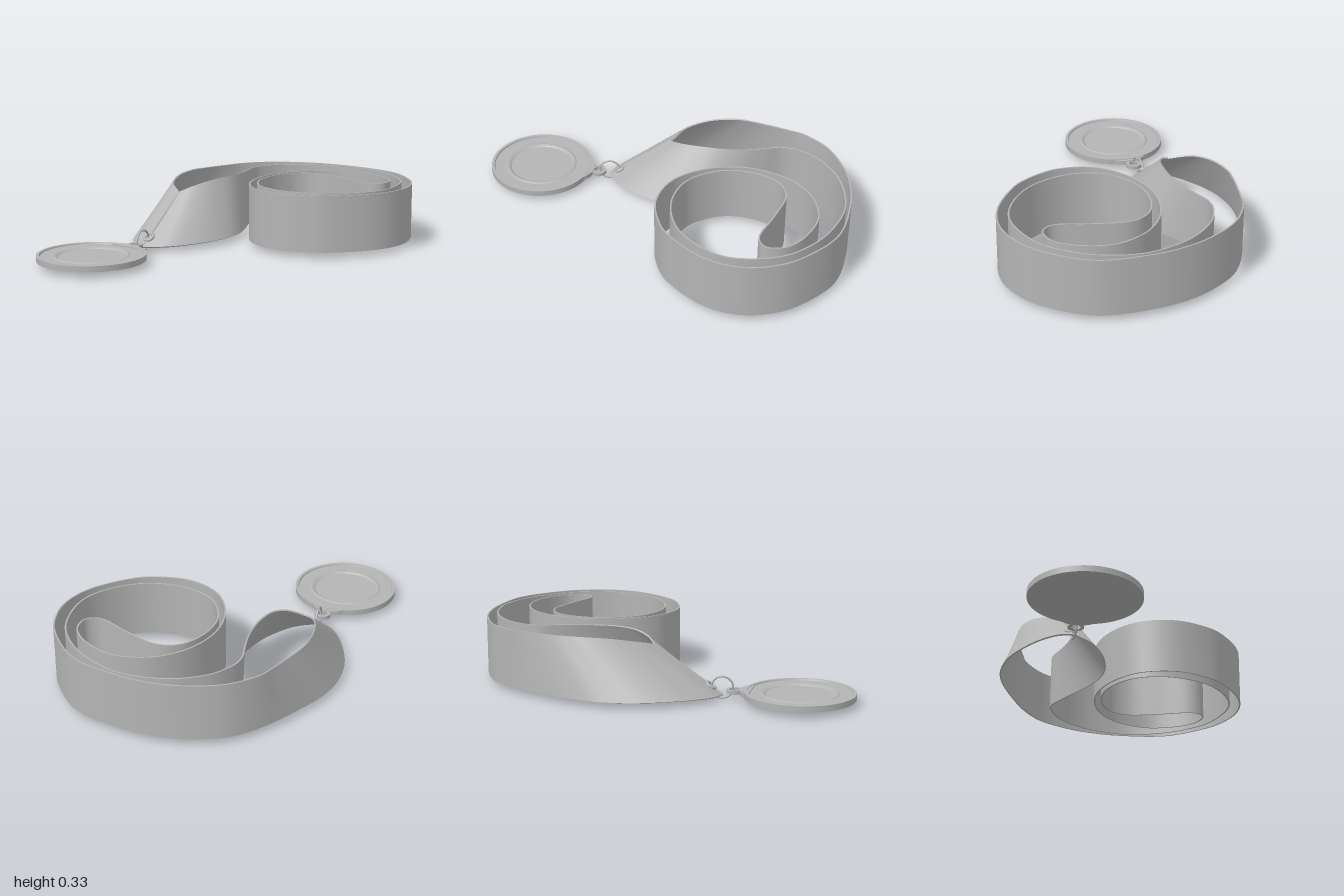
import * as THREE from 'three';

const grey = new THREE.MeshStandardMaterial({ color: 0xb4b4b4 });
grey.name = 'grey';

// Left side of the neck opening: top edge x, y, z then bottom edge x, y, z
const LEFT = [
  [-0.40, 0.265, 0.00, -0.37, 0.022, 0.34],
  [-0.50, 0.295, -0.07, -0.46, 0.025, 0.30],
  [-0.56, 0.317, -0.19, -0.56, 0.028, 0.18],
  [-0.585, 0.325, -0.33, -0.65, 0.03, 0.00],
  [-0.575, 0.325, -0.43, -0.68, 0.03, -0.18],
  [-0.555, 0.325, -0.52, -0.655, 0.03, -0.35],
  [-0.53, 0.325, -0.62, -0.575, 0.03, -0.56],
];
// Right side, running back to the seam
const RIGHT = [
  [-0.335, 0.325, -0.52, -0.295, 0.03, -0.47],
  [-0.305, 0.325, -0.42, -0.215, 0.03, -0.33],
  [-0.29, 0.325, -0.32, -0.16, 0.03, -0.20],
  [-0.29, 0.325, -0.23, -0.147, 0.03, -0.08],
  [-0.305, 0.317, -0.13, -0.18, 0.028, 0.08],
  [-0.345, 0.295, -0.05, -0.26, 0.025, 0.24],
  [-0.40, 0.265, 0.00, -0.37, 0.022, 0.34],
];
// Upright coil in plan (x, z): outer turn inwards, round the end and back out
const COIL = [
  [-0.5, -0.71], [-0.41, -0.83], [-0.29, -0.91], [-0.13, -0.972], [0.08, -0.995], [0.35, -0.955],
  [0.56, -0.79], [0.65, -0.63], [0.67, -0.48], [0.63, -0.33], [0.53, -0.185], [0.42, -0.09],
  [0.23, -0.03], [0.04, -0.08], [-0.09, -0.23], [-0.142, -0.43], [-0.1, -0.63], [0.02, -0.78],
  [0.2, -0.847], [0.36, -0.81], [0.47, -0.73], [0.5, -0.64], [0.47, -0.59], [0.4, -0.58],
  [0.25, -0.63], [0.07, -0.67], [-0.05, -0.61], [-0.105, -0.46], [-0.085, -0.3], [0.03, -0.155],
  [0.22, -0.108], [0.42, -0.17], [0.56, -0.32], [0.608, -0.49], [0.55, -0.71], [0.41, -0.86],
  [0.24, -0.945], [0.07, -0.97], [-0.13, -0.92], [-0.28, -0.81], [-0.35, -0.69], [-0.36, -0.6],
];

function add(parent, name, geometry) {
  const mesh = new THREE.Mesh(geometry, grey);
  mesh.name = name;
  parent.add(mesh);
  return mesh;
}

// Thin band between a top and a bottom rail, with real thickness
function ribbonGeometry(rows, steps, half) {
  const rail = k => new THREE.CatmullRomCurve3(
    rows.map(r => new THREE.Vector3(r[k], r[k + 1], r[k + 2])), false, 'catmullrom', 0.5);
  const top = rail(0), bottom = rail(3);
  const middle = t => top.getPoint(t).add(bottom.getPoint(t));
  const sections = [];
  for (let i = 0; i <= steps; i++) {
    const t = i / steps, e = 0.0005;
    const a = top.getPoint(t), b = bottom.getPoint(t);
    const along = middle(Math.min(1, t + e)).sub(middle(Math.max(0, t - e)));
    const n = along.cross(a.clone().sub(b)).setLength(half);
    sections.push([a.clone().add(n), b.clone().add(n), b.clone().sub(n), a.clone().sub(n)]);
  }
  const positions = [], index = [];
  const put = p => positions.push(p.x, p.y, p.z);
  for (let s = 0; s < 4; s++) {
    const base = positions.length / 3;
    sections.forEach(c => { put(c[s]); put(c[(s + 1) % 4]); });
    for (let i = 0; i < steps; i++) {
      const k = base + 2 * i;
      index.push(k, k + 1, k + 3, k, k + 3, k + 2);
    }
  }
  // end caps
  const first = sections[0], last = sections[steps];
  for (const cap of [[first[0], first[3], first[2], first[1]], last]) {
    const k = positions.length / 3;
    cap.forEach(put);
    index.push(k, k + 1, k + 2, k, k + 2, k + 3);
  }
  const g = new THREE.BufferGeometry();
  g.setAttribute('position', new THREE.Float32BufferAttribute(positions, 3));
  g.setIndex(index);
  g.computeVertexNormals();
  return g;
}

// Lathe with hard edges: each profile segment is its own smooth band
function turned(parent, name, profile, x, z) {
  const group = new THREE.Group();
  group.name = name;
  group.position.set(x, 0, z);
  for (let i = 0; i < profile.length - 1; i++) {
    const pair = [profile[i], profile[i + 1]].map(p => new THREE.Vector2(p[0], p[1]));
    add(group, name + 'Band', new THREE.LatheGeometry(pair, 72));
  }
  parent.add(group);
}

export function createModel() {
  const model = new THREE.Group();
  model.name = 'medalOnRibbon';

  const coil = COIL.map(([x, z]) => [x, 0.325, z, x, 0.03, z]);
  add(model, 'ribbon', ribbonGeometry([...LEFT, ...coil, ...RIGHT], 560, 0.004));

  // Medal disc with raised rim and inner bead
  const cx = -0.365, cz = 0.722;
  turned(model, 'medal', [
    [0, 0.03], [0.275, 0.03], [0.275, 0.06], [0.26, 0.06], [0.257, 0.052], [0.195, 0.051],
    [0.184, 0.056], [0.172, 0.051], [0.167, 0.047], [0, 0.047],
  ], cx, cz);

  // Shoulder joining the disc to its eyelet
  const tab = new THREE.Shape();
  tab.moveTo(-0.11, 0.24);
  tab.quadraticCurveTo(-0.07, 0.285, -0.03, 0.295);
  tab.lineTo(0.03, 0.295);
  tab.quadraticCurveTo(0.07, 0.285, 0.11, 0.24);
  const shoulder = add(model, 'shoulder',
    new THREE.ExtrudeGeometry(tab, { depth: 0.024, bevelEnabled: false, curveSegments: 8 }));
  shoulder.rotation.x = -Math.PI / 2;
  shoulder.position.set(cx, 0.033, cz);

  // Eyelet
  turned(model, 'eyelet', [
    [0.025, 0.034], [0.041, 0.034], [0.041, 0.053], [0.025, 0.053], [0.025, 0.034],
  ], cx, 0.397);

  // Jump ring standing between the eyelet and the grommet
  const ring = add(model, 'jumpRing', new THREE.TorusGeometry(0.054, 0.005, 10, 48));
  ring.rotation.y = Math.PI / 2 + 0.15;
  ring.position.set(-0.367, 0.06, 0.335);

  // Grommet set flat in the sloping ribbon
  const grommet = add(model, 'grommet', new THREE.TorusGeometry(0.024, 0.008, 10, 36));
  grommet.lookAt(0, 0.34, 0.24);
  grommet.position.set(-0.374, 0.068, 0.28);

  // Seam where the two ribbon ends meet
  const seam = new THREE.LineCurve3(
    new THREE.Vector3(-0.4, 0.265, 0.001), new THREE.Vector3(-0.376, 0.085, 0.255));
  add(model, 'seam', new THREE.TubeGeometry(seam, 1, 0.006, 8));

  return model;
}
